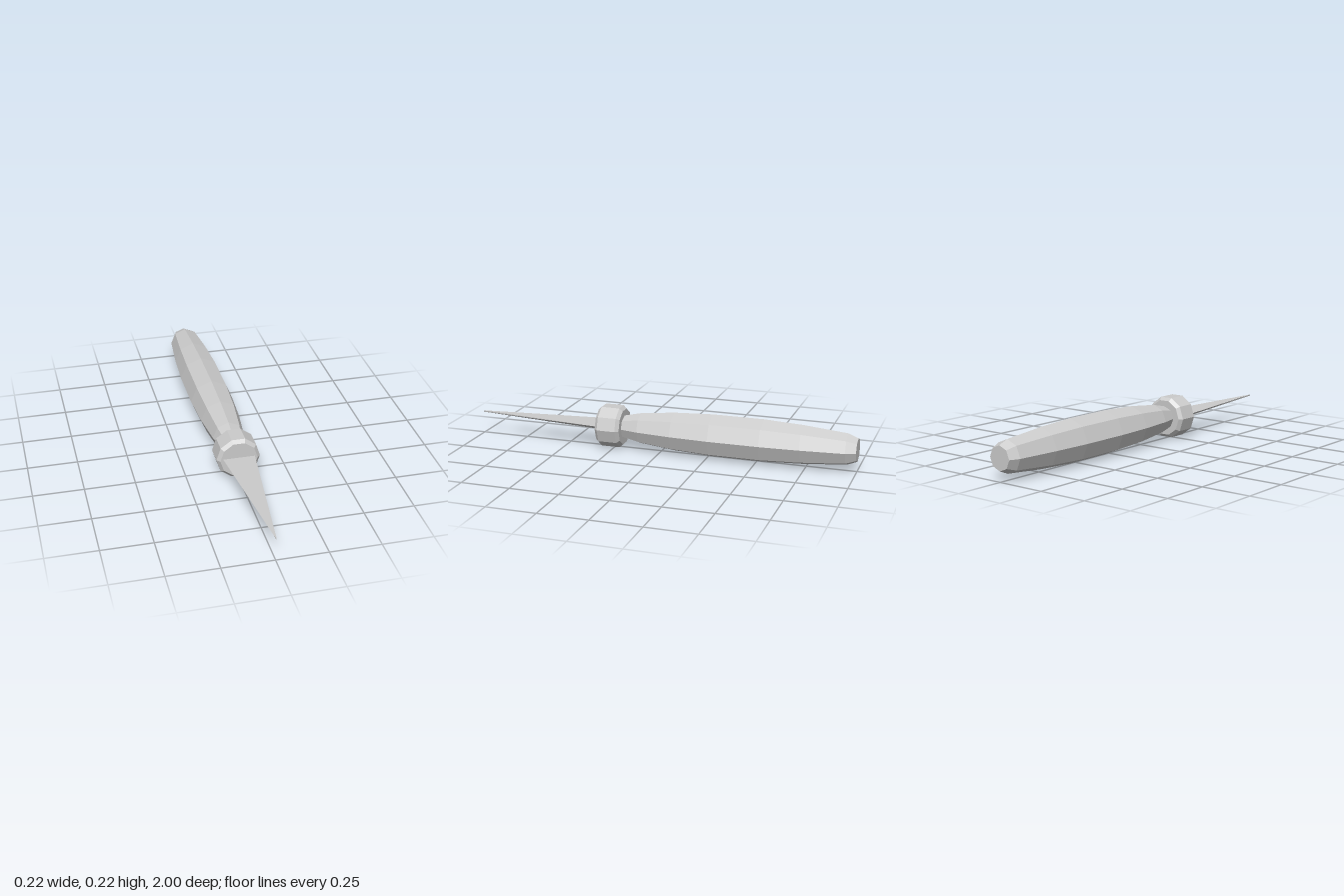
import * as THREE from 'three';

const AXIS_Y = 0.111;
const material = new THREE.MeshStandardMaterial({ color: 0xcccccc, flatShading: true });

// Faceted turned part along z, from [radius, z] pairs running back to front
function turned(name, profile, sides, phiStart = 0) {
  const points = profile.map(([r, z]) => new THREE.Vector2(r, z));
  const geometry = new THREE.LatheGeometry(points, sides, phiStart);
  geometry.rotateX(Math.PI / 2).translate(0, AXIS_Y, 0);
  const mesh = new THREE.Mesh(geometry, material);
  mesh.name = name;
  return mesh;
}

// Blade: flat top, bevelled underside, tapering from the collar to a fine tip
function makeBlade() {
  const geometry = new THREE.BoxGeometry(1, 1, 1);
  const p = geometry.attributes.position;
  for (let i = 0; i < p.count; i++) {
    const tip = p.getZ(i) > 0, top = p.getY(i) > 0;
    const halfWidth = tip ? (top ? 0.002 : 0.0007) : (top ? 0.08 : 0.026);
    const y = top ? 0.121 : (tip ? 0.114 : 0.092);
    p.setXYZ(i, Math.sign(p.getX(i)) * halfWidth, y, tip ? 1 : 0.32);
  }
  geometry.computeVertexNormals();
  const mesh = new THREE.Mesh(geometry, material);
  mesh.name = 'blade';
  return mesh;
}

export function createModel() {
  const group = new THREE.Group();
  group.name = 'craftKnife';

  // Eight-sided swelling handle with a flat butt
  group.add(turned('handle', [
    [0, -1], [0.06, -1], [0.08, -0.95], [0.1, -0.73], [0.11, -0.53],
    [0.11, -0.27], [0.1, -0.07], [0.08, 0.11], [0.058, 0.205], [0, 0.205],
  ], 8));

  // Ten-sided collar with chamfered rims
  group.add(turned('collar', [
    [0, 0.2], [0.093, 0.2], [0.109, 0.217], [0.109, 0.313], [0.093, 0.33], [0, 0.33],
  ], 10, Math.PI / 2));

  group.add(makeBlade());
  return group;
}
